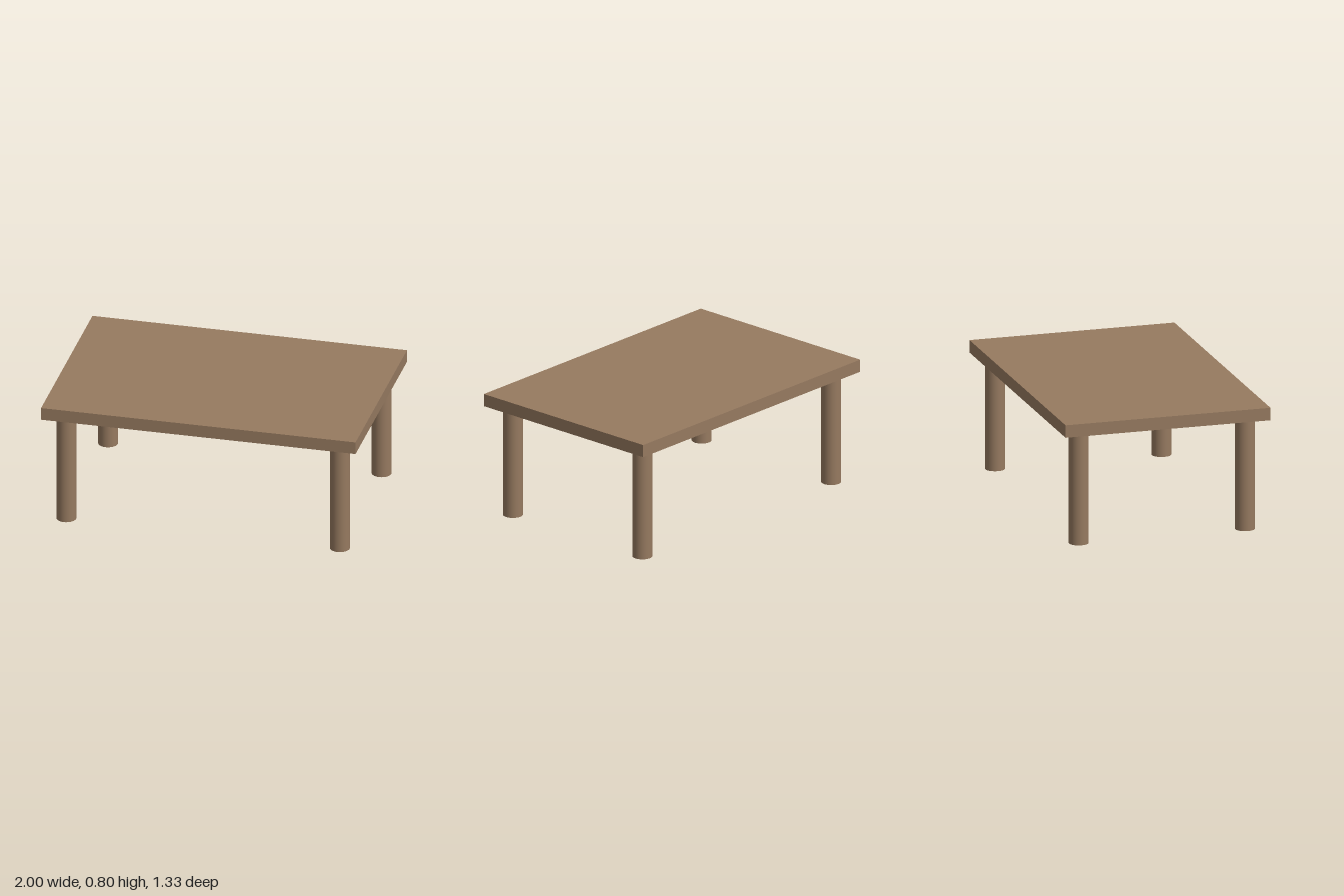
import * as THREE from 'three';

export function createModel() {
  const table = new THREE.Group();
  table.name = 'table';
  const wood = new THREE.MeshStandardMaterial({ color: 0x967a60 });

  const legHeight = 0.72;
  const topThickness = 0.08;

  // Flat slab top
  const top = new THREE.Mesh(new THREE.BoxGeometry(2, topThickness, 1.325), wood);
  top.name = 'tableTop';
  top.position.y = legHeight + topThickness / 2;
  table.add(top);

  // Four round legs, one near each corner
  const legGeometry = new THREE.CylinderGeometry(0.062, 0.062, legHeight, 32);
  for (const [xName, x] of [['Left', 0.87], ['Right', -0.87]]) {
    for (const [zName, z] of [['front', 0.538], ['back', -0.538]]) {
      const leg = new THREE.Mesh(legGeometry, wood);
      leg.name = `${zName}${xName}Leg`;
      leg.position.set(x, legHeight / 2, z);
      table.add(leg);
    }
  }

  return table;
}
